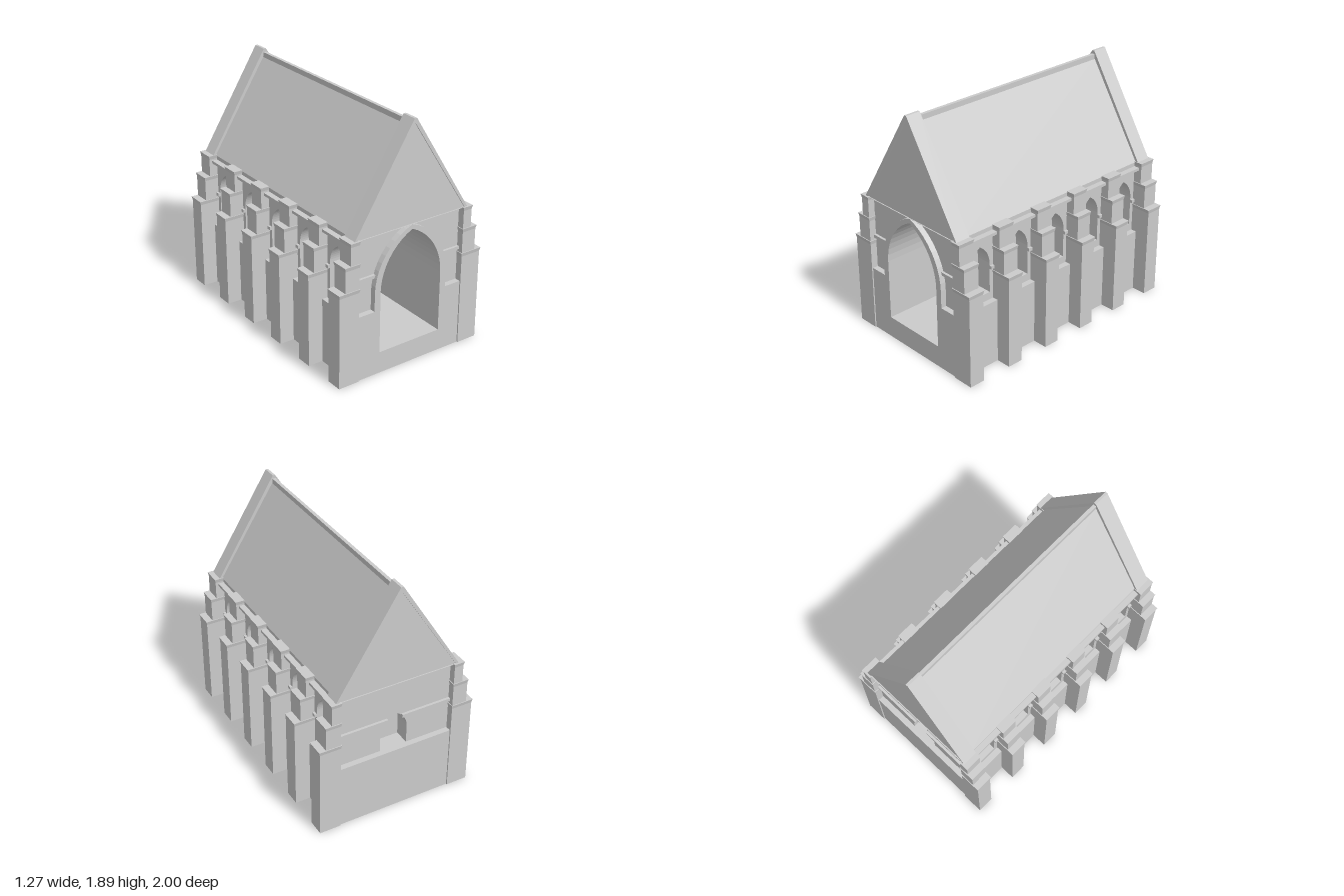
import * as THREE from 'three';

const stone = new THREE.MeshStandardMaterial({ color: 0xcccccc, flatShading: true });

// Box given by its min/max corners
function box(name, x0, x1, y0, y1, z0, z1) {
  const m = new THREE.Mesh(new THREE.BoxGeometry(x1 - x0, y1 - y0, z1 - z0), stone);
  m.position.set((x0 + x1) / 2, (y0 + y1) / 2, (z0 + z1) / 2);
  m.name = name;
  return m;
}

// Pointed arch points from right springing over the apex to left springing
function archPoints(w, spring, apex, n = 10) {
  const h = apex - spring, r = (w * w + h * h) / (2 * w);
  const end = Math.atan2(h, r - w);
  const right = [];
  for (let i = 0; i <= n; i++) {
    const a = (end * i) / n;
    right.push(new THREE.Vector2(w - r + r * Math.cos(a), spring + r * Math.sin(a)));
  }
  const left = right.slice(0, n).reverse().map((p) => new THREE.Vector2(-p.x, p.y));
  return [...right, ...left];
}

// Pointed opening centred on cx, with a flat sill
function opening(cx, w, sill, spring, apex) {
  const pts = [new THREE.Vector2(-w, sill), new THREE.Vector2(w, sill), ...archPoints(w, spring, apex)];
  return new THREE.Path(pts.map((p) => new THREE.Vector2(p.x + cx, p.y)));
}

const polygon = (pts) => new THREE.Shape(pts.map((p) => (p.isVector2 ? p : new THREE.Vector2(...p))));
const rect = (w, y0, y1) => polygon([[-w, y0], [w, y0], [w, y1], [-w, y1]]);

function extrude(name, shape, z0, z1) {
  const g = new THREE.ExtrudeGeometry(shape, { depth: z1 - z0, bevelEnabled: false });
  const m = new THREE.Mesh(g, stone);
  m.position.z = z0;
  m.name = name;
  return m;
}

// Stepped buttress on the +x side, each stage capped by a splayed lip
function buttress() {
  const g = new THREE.Group();
  g.name = 'buttress';
  const stages = [[0.629, 0, 0.745], [0.58, 0.745, 0.94], [0.534, 0.94, 1.11]];
  for (const [x, y0, y1] of stages) {
    g.add(box('buttressStage', 0.461, x, y0, y1 - 0.01, -0.064, 0.064));
    const lip = box('buttressLip', 0.455, x + 0.006, y1 - 0.03, y1, -0.07, 0.07);
    const p = lip.geometry.attributes.position;
    for (let i = 0; i < p.count; i++) {
      if (p.getY(i) < 0) {
        p.setX(i, p.getX(i) - Math.sign(p.getX(i)) * 0.006);
        p.setZ(i, p.getZ(i) * 0.91);
      }
    }
    g.add(lip);
  }
  return g;
}

export function createModel() {
  const model = new THREE.Group();
  model.name = 'chapel';
  const bays = [-0.744, -0.372, 0, 0.372, 0.744];

  // Core with the deep entrance vault
  const core = rect(0.345, 0, 1.105);
  core.holes.push(opening(0, 0.27, 0.17, 0.65, 1.07));
  model.add(extrude('vaultedCore', core, -0.75, 0.94));
  model.add(box('coreEnd', -0.345, 0.345, 0, 1.105, -0.82, -0.75));

  // Front plinth joined to the raised arch surround
  const front = polygon([[-0.46, 0], [0.46, 0], [0.46, 0.515], [0.32, 0.515],
    ...archPoints(0.32, 0.65, 1.105), [-0.32, 0.515], [-0.46, 0.515]]);
  front.holes.push(opening(0, 0.27, 0.17, 0.65, 1.07));
  model.add(extrude('entranceSurround', front, 0.94, 0.985));

  // Back wall with its small window
  const back = rect(0.345, 0, 1.105);
  back.holes.push(opening(0, 0.11, 0.515, 0.66, 0.82));
  model.add(extrude('backWall', back, -0.94, -0.82));
  model.add(box('backPlinth', -0.46, 0.46, 0, 0.515, -0.985, -0.94));

  // Side walls with five recessed windows each
  for (const s of [1, -1]) {
    const wall = rect(0.94, 0, 1.105);
    for (const z of bays) wall.holes.push(opening(z, 0.09, 0.575, 0.81, 0.97));
    const m = extrude('sideWall', wall, 0, 0.12);
    m.geometry.rotateY(Math.PI / 2);
    m.position.set(s > 0 ? 0.345 : -0.465, 0, 0);
    model.add(m);

    // Mirrored boxes on this side
    const sideBox = (name, x0, x1, ...rest) =>
      model.add(s > 0 ? box(name, x0, x1, ...rest) : box(name, -x1, -x0, ...rest));
    sideBox('sidePlinth', 0.46, 0.51, 0, 0.515, -0.93, 0.93);
    sideBox('corniceLower', 0.46, 0.49, 1.03, 1.046, -0.93, 0.93);
    sideBox('corniceUpper', 0.46, 0.51, 1.046, 1.068, -0.93, 0.93);
    for (const z of bays) {
      sideBox('stringCourse', 0.46, 0.483, 0.765, 0.79, z - 0.13, z - 0.09);
      sideBox('stringCourse', 0.46, 0.483, 0.765, 0.79, z + 0.09, z + 0.13);
    }
    sideBox('frontStringCourse', 0.3, 0.462, 0.765, 0.79, 0.93, 0.96);
    sideBox('backStringCourse', 0.06, 0.462, 0.765, 0.79, -0.96, -0.93);

    for (let i = 0; i < 6; i++) {
      const b = buttress();
      b.position.z = -0.93 + i * 0.372;
      if (s < 0) {
        b.rotation.y = Math.PI;
      }
      model.add(b);
    }
  }

  // Roof and ridge
  model.add(extrude('roof', polygon([[-0.47, 1.103], [0.47, 1.103], [0, 1.84]]), -0.9, 0.9));
  model.add(box('ridge', -0.013, 0.013, 1.81, 1.86, -0.9, 0.9));

  // Gables: slightly recessed face inside a raised coping
  for (const s of [1, -1]) {
    const coping = polygon([[-0.5, 1.105], [0.5, 1.105], [0.01, 1.887], [-0.01, 1.887]]);
    coping.holes.push(polygon([[-0.475, 1.106], [0.475, 1.106], [0, 1.85]]));
    const face = polygon([[-0.48, 1.105], [0.48, 1.105], [0, 1.855]]);
    const z0 = s > 0 ? 0.865 : -0.985;
    model.add(extrude('gableCoping', coping, z0, z0 + 0.12));
    model.add(extrude('gable', face, z0 + 0.008, z0 + 0.112));
  }
  return model;
}
